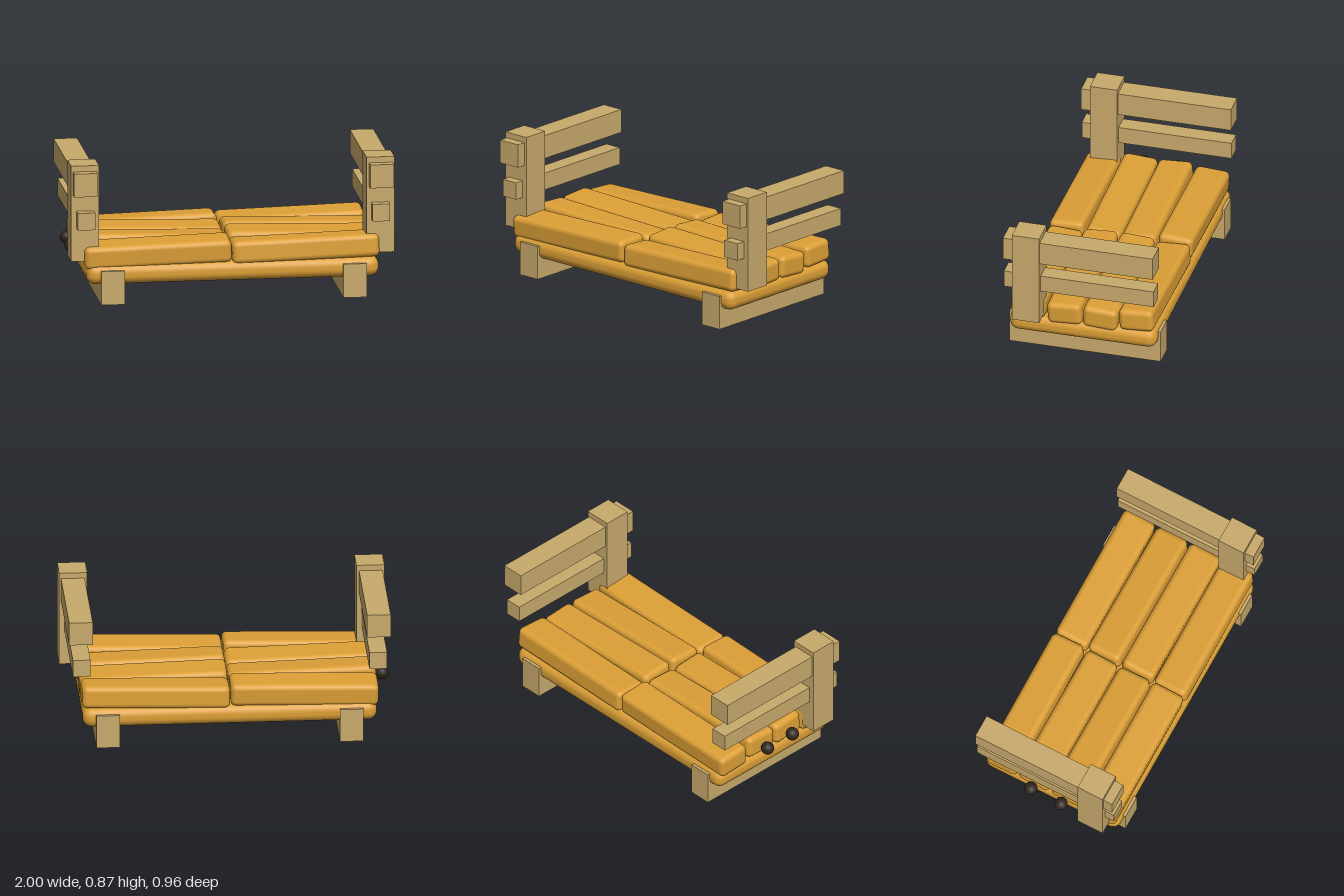
import * as THREE from 'three';
import { RoundedBoxGeometry } from 'three/addons/geometries/RoundedBoxGeometry.js';

export function createModel() {
  const model = new THREE.Group();
  model.name = 'daybed';
  const mat = (name, color) => {
    const m = new THREE.MeshStandardMaterial({ color });
    m.name = name;
    return m;
  };
  const wood = mat('pale wood', 0xc8aa6c);
  const fabric = mat('ochre fabric', 0xdc9f36);
  const dark = mat('dark knob', 0x30281e);

  const add = (name, geometry, material, x, y, z) => {
    const mesh = new THREE.Mesh(geometry, material);
    mesh.name = name;
    mesh.position.set(x, y, z);
    model.add(mesh);
    return mesh;
  };
  // Box from its extents
  const beam = (name, x0, x1, y0, y1, z0, z1) =>
    add(name, new THREE.BoxGeometry(Math.abs(x1 - x0), y1 - y0, z1 - z0), wood,
      (x0 + x1) / 2, (y0 + y1) / 2, (z0 + z1) / 2);

  // Timber frame, mirrored on both ends
  for (const s of [-1, 1]) {
    const side = s > 0 ? 'left' : 'right';
    beam(side + 'Runner', s * 0.675, s * 0.82, 0, 0.211, -0.48, 0.48);
    beam(side + 'Post', s * 0.826, s * 0.998, 0.265, 0.865, 0.243, 0.416);
    beam(side + 'UpperRail', s * 0.842, s * 0.987, 0.682, 0.829, -0.474, 0.476);
    beam(side + 'LowerRail', s * 0.856, s * 0.964, 0.473, 0.581, -0.474, 0.476);
  }

  // Mattress
  add('mattress', new RoundedBoxGeometry(1.805, 0.125, 0.93, 4, 0.055), fabric, -0.002, 0.1825, 0);

  // Cushions: four rows of two, each settled at a slight tilt
  const cushion = new RoundedBoxGeometry(0.908, 0.142, 0.217, 4, 0.034);
  [0.344, 0.115, -0.113, -0.342].forEach((z, row) => {
    const outerRow = row === 0 || row === 3 ? 1 : -1;
    for (const s of [-1, 1]) {
      const c = add('cushion', cushion, fabric, s > 0 ? 0.45 : -0.462, 0.298, z);
      c.rotation.z = outerRow * 0.026;
      c.rotation.x = -Math.sign(z) * s * outerRow * 0.06;
    }
  });

  // Round knobs on the cushion ends
  for (const z of [-0.105, 0.105]) {
    add('knob', new THREE.SphereGeometry(0.041, 16, 10), dark, -0.957, 0.296, z);
  }
  return model;
}
